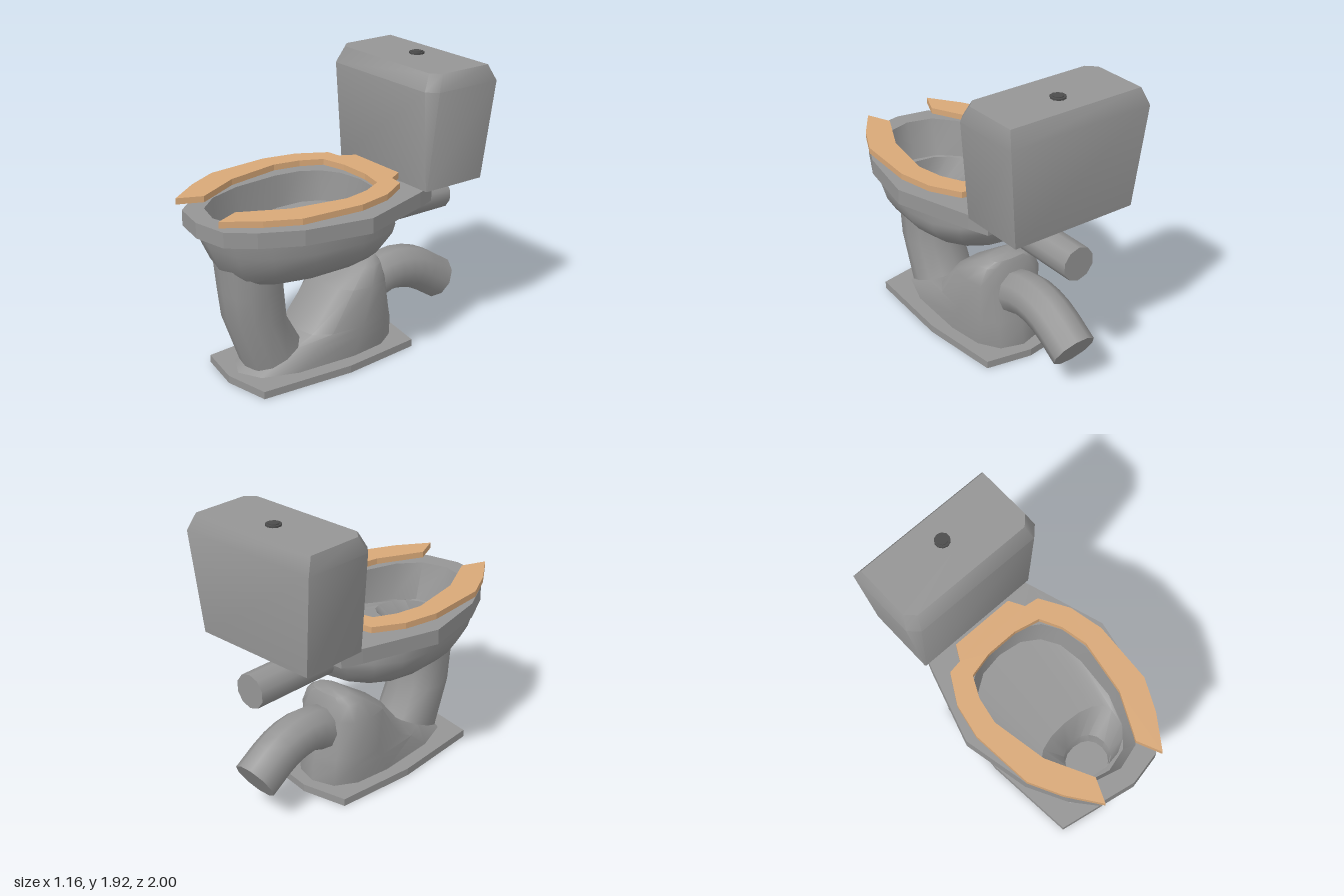
import * as THREE from 'three';
import { toCreasedNormals } from 'three/addons/utils/BufferGeometryUtils.js';

const ceramic = new THREE.MeshStandardMaterial({ color: 0x959595, side: THREE.DoubleSide });
const wood = new THREE.MeshStandardMaterial({ color: 0xd8a878 });
const darkMetal = new THREE.MeshStandardMaterial({ color: 0x4c4c4c });

// Horizontal oval ring; zc is where it is widest, slope tilts it along z.
function oval(y, w, front, back, { zc = (front + back) / 2, n = 16, p = 0.9, slope = 0 } = {}) {
  const power = (v) => (Math.abs(v) < 1e-6 ? 0 : Math.sign(v) * Math.abs(v) ** p);
  return Array.from({ length: n }, (_, i) => {
    const a = (i / n) * Math.PI * 2;
    const c = power(Math.cos(a));
    const dz = c * (c > 0 ? front - zc : zc - back);
    return [w * power(Math.sin(a)), y + dz * slope, zc + dz];
  });
}

// Skin over a stack of rings, with optional end caps.
function loft(rings, { start = true, end = true, crease = 0.6 } = {}) {
  const n = rings[0].length;
  const positions = rings.flat(2);
  const index = [];
  for (let i = 0; i < rings.length - 1; i++) {
    for (let j = 0; j < n; j++) {
      const a = i * n + j, b = i * n + ((j + 1) % n);
      index.push(a, b, b + n, a, b + n, a + n);
    }
  }
  const cap = (r, flip) => {
    const centre = positions.length / 3;
    positions.push(...[0, 1, 2].map((k) => rings[r].reduce((s, q) => s + q[k], 0) / n));
    for (let j = 0; j < n; j++) {
      const a = r * n + j, b = r * n + ((j + 1) % n);
      index.push(centre, flip ? b : a, flip ? a : b);
    }
  };
  if (start) cap(0, true);
  if (end) cap(rings.length - 1, false);
  const geo = new THREE.BufferGeometry();
  geo.setAttribute('position', new THREE.Float32BufferAttribute(positions, 3));
  geo.setIndex(index);
  return toCreasedNormals(geo, crease);
}

// Completes half an outline of [x, z] points by mirroring it in x.
const mirror = (half) => [...half, ...half.filter(([x]) => x > 0).reverse().map(([x, z]) => [-x, z])];

// Flat slab with the given [x, z] outline and optional hole.
function slab(outline, bottom, top, hole) {
  const vecs = (pts) => pts.map(([x, z]) => new THREE.Vector2(x, z));
  const shape = new THREE.Shape(vecs(outline));
  if (hole) shape.holes.push(new THREE.Path(vecs(hole)));
  const geo = new THREE.ExtrudeGeometry(shape, { depth: top - bottom, bevelEnabled: false });
  return geo.rotateX(Math.PI / 2).translate(0, top, 0);
}

export function createModel() {
  const model = new THREE.Group();
  model.name = 'toilet';
  const add = (name, geometry, material = ceramic) => {
    const mesh = new THREE.Mesh(geometry, material);
    mesh.name = name;
    model.add(mesh);
    return mesh;
  };

  // Floor plate
  add('basePlate', slab(mirror([[0, 0.8], [0.31, 0.74], [0.36, 0.1], [0.31, -0.45], [0, -0.505]]), 0, 0.05));

  // Sloping foot that houses the trap
  add('foot', loft([
    oval(0.05, 0.265, 0.73, -0.43, { zc: 0, n: 12, p: 0.8 }),
    oval(0.18, 0.265, 0.47, -0.415, { zc: -0.05, n: 12, p: 0.7 }),
    oval(0.24, 0.262, 0.3, -0.4, { zc: -0.08, n: 12, p: 0.7 }),
    oval(0.5, 0.26, 0.07, -0.35, { zc: -0.15, n: 12, p: 0.7 }),
    oval(0.61, 0.205, -0.1, -0.32, { n: 12, p: 0.7 }),
    oval(0.653, 0.14, -0.19, -0.305, { n: 12, p: 0.7, slope: 0.2 }),
  ], { crease: 0.9 }));

  // Leaning column under the front of the bowl
  add('column', loft([
    oval(0.15, 0.2, 0.67, 0.3, { n: 12, slope: -0.43 }),
    oval(0.415, 0.2, 0.8, 0.4, { n: 12, slope: 0.07 }),
    oval(0.62, 0.2, 0.825, 0.42, { n: 12 }),
    oval(0.77, 0.21, 0.845, 0.42, { n: 12, slope: 0.22 }),
  ], { end: false, crease: 0.9 }));

  // Bowl outside; its flat underside is open inside the column
  add('bowlOuter', loft([
    oval(0.727, 0.18, 0.74, 0.44, { slope: -0.045 }),
    oval(0.748, 0.36, 0.78, -0.28, { zc: 0.12, slope: -0.045 }),
    oval(0.81, 0.43, 0.845, -0.315, { zc: 0.12, slope: -0.02 }),
    oval(0.89, 0.487, 0.885, -0.355, { zc: 0.12 }),
    oval(0.95, 0.5, 0.91, -0.375, { zc: 0.12 }),
    oval(1.04, 0.51, 0.93, -0.34, { zc: 0.12 }),
  ], { start: false, end: false, crease: 0.9 }));

  // Rim and rear deck
  const opening = oval(1.14, 0.39, 0.88, -0.25, { zc: 0.15, p: 0.85 });
  add('rim', slab(
    mirror([[0, 1], [0.23, 0.955], [0.36, 0.8], [0.49, 0.55], [0.58, 0.11], [0.42, -0.4], [0.37, -0.535]]),
    1.04, 1.14, opening.map(([x, , z]) => [x, z])));

  // Bowl inside: wall, flat shelf and well at the front
  add('bowlInner', loft([
    opening,
    oval(0.925, 0.365, 0.8, -0.23, { zc: 0.15, p: 0.85, slope: -0.05 }),
    oval(0.89, 0.29, 0.77, 0.38, { zc: 0.52 }),
    oval(0.72, 0.15, 0.75, 0.47),
    oval(0.62, 0.14, 0.74, 0.48),
  ], { start: false }));

  // Seat with an open front
  add('seat', slab(mirror([
    [0.22, -0.385], [0.275, -0.285], [0.37, -0.27], [0.48, -0.08], [0.527, 0.15], [0.495, 0.57],
    [0.39, 0.78], [0.24, 0.99], [0.17, 0.83], [0.32, 0.53], [0.385, 0.16], [0.35, -0.02], [0.28, -0.16], [0.11, -0.2],
  ]), 1.18, 1.22), wood);

  // Cistern: flared box with clipped front corners and bevelled top
  const tankRing = (y, w, front, back, clip) =>
    mirror([[w - clip, front], [w, front - clip], [w, back]]).map(([x, z]) => [x, y, z]);
  add('tank', loft([
    tankRing(1.14, 0.44, -0.43, -0.89, 0.005),
    tankRing(1.8, 0.51, -0.39, -0.93, 0.065),
    tankRing(1.905, 0.478, -0.445, -0.88, 0.06),
  ], { crease: 0.9 }));

  // Flush button in two steps
  for (const [r, y] of [[0.05, 1.91], [0.035, 1.916]]) {
    add('flushButton', new THREE.CylinderGeometry(r, r, 0.012, 10), darkMetal).position.set(0, y, -0.705);
  }

  // Straight inlet pipe
  const inlet = add('inletPipe', new THREE.CylinderGeometry(0.113, 0.113, 0.68, 10));
  inlet.rotation.x = Math.PI / 2;
  inlet.position.set(0, 0.907, -0.598);

  // Curved outlet pipe with a closed end
  const path = new THREE.CatmullRomCurve3(
    [[0.38, -0.27], [0.435, -0.4], [0.45, -0.53], [0.41, -0.7], [0.273, -0.926]]
      .map(([y, z]) => new THREE.Vector3(0, y, z)));
  add('outletPipe', new THREE.TubeGeometry(path, 8, 0.147, 10));
  const cap = add('outletPipeEnd', new THREE.CircleGeometry(0.147, 10));
  cap.position.copy(path.getPoint(1));
  cap.lookAt(path.getPoint(1).add(path.getTangent(1)));

  return model;
}
